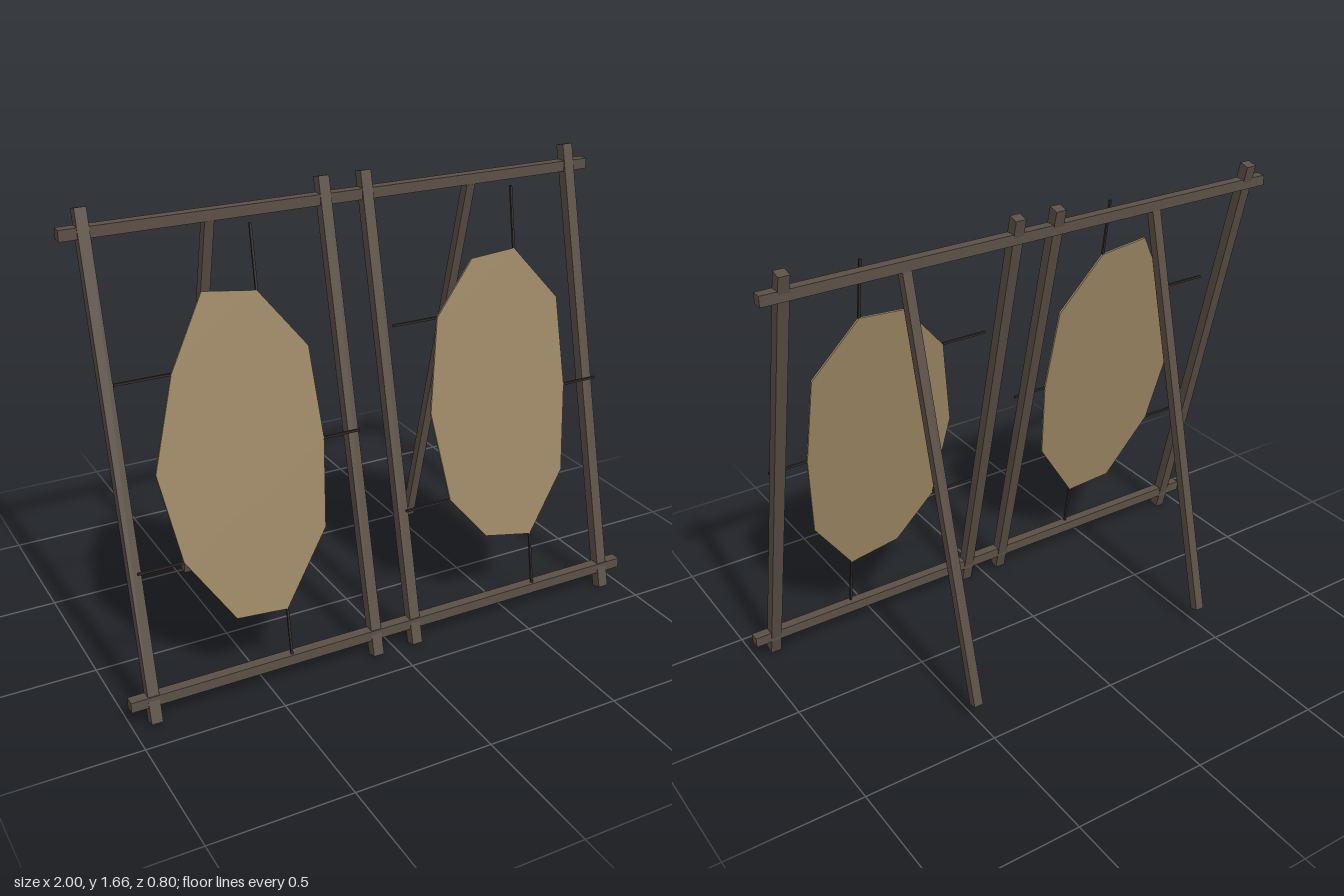
import * as THREE from 'three';

const wood = new THREE.MeshStandardMaterial({ color: 0x5a4f45 });
wood.name = 'dark wood';
const leather = new THREE.MeshStandardMaterial({ color: 0x9c8664 });
leather.name = 'tan hide';
const cord = new THREE.MeshStandardMaterial({ color: 0x322c2a });
cord.name = 'dark cord';

// Square beam between two points
function beam(name, a, b, width, material) {
  const start = new THREE.Vector3(...a), end = new THREE.Vector3(...b);
  const dir = end.clone().sub(start);
  const mesh = new THREE.Mesh(new THREE.BoxGeometry(width, dir.length(), width), material);
  mesh.position.copy(start).add(end).multiplyScalar(0.5);
  mesh.quaternion.setFromUnitVectors(new THREE.Vector3(0, 1, 0), dir.normalize());
  mesh.name = name;
  return mesh;
}

// The hides hang in a plane that leans back less than the frame
const SLOPE = 0.17, BASE_Z = 0.386;
const TILT = Math.atan(SLOPE);
const onPlane = (x, y) => [x, y, BASE_Z - SLOPE * y];

function stretchedHide(name, points, poleLeft, poleRight) {
  const group = new THREE.Group();
  group.name = name;

  // Thin ten-sided skin
  const shape = new THREE.Shape(points.map(([x, y]) => new THREE.Vector2(x, y / Math.cos(TILT))));
  const geometry = new THREE.ExtrudeGeometry(shape, { depth: 0.008, bevelEnabled: false });
  geometry.translate(0, 0, -0.004);
  const skin = new THREE.Mesh(geometry, leather);
  skin.name = 'hide';
  skin.position.z = BASE_Z;
  skin.rotation.x = -TILT;
  group.add(skin);

  // Cords from alternate corners to the frame
  const [, top, , right, , bottom, , lowLeft, , highLeft] = points;
  const ties = [
    [top, [top[0], 1.58]],
    [right, [poleRight, right[1]]],
    [bottom, [bottom[0], 0.1]],
    [lowLeft, [poleLeft, lowLeft[1]]],
    [highLeft, [poleLeft, highLeft[1]]],
  ];
  for (const [from, to] of ties) group.add(beam('cord', onPlane(...from), onPlane(...to), 0.008, cord));
  return group;
}

export function createModel() {
  const model = new THREE.Group();
  model.name = 'hideDryingRack';

  // Leaning uprights
  for (const x of [-0.92, -0.08, 0.08, 0.92])
    model.add(beam('upright', [x, 0.005, 0.381], [x, 1.66, -0.031], 0.04, wood));

  // Crossbars
  model.add(beam('topRail', [-1, 1.586, -0.016], [1, 1.586, -0.016], 0.038, wood));
  model.add(beam('bottomRail', [-1, 0.084, 0.362], [1, 0.084, 0.362], 0.038, wood));

  // Rear props
  for (const x of [-0.5, 0.5])
    model.add(beam('rearLeg', [x, 0.07, -0.386], [x, 1.57, -0.016], 0.034, wood));

  // Hides, listed clockwise from the upper left corner
  model.add(stretchedHide('rightHide', [
    [-0.6, 1.39], [-0.41, 1.365], [-0.245, 1.157], [-0.217, 0.835], [-0.24, 0.525],
    [-0.41, 0.27], [-0.597, 0.285], [-0.76, 0.525], [-0.82, 0.835], [-0.73, 1.147],
  ], -0.92, -0.08));
  model.add(stretchedHide('leftHide', [
    [0.41, 1.35], [0.587, 1.362], [0.76, 1.162], [0.777, 0.835], [0.75, 0.515],
    [0.597, 0.298], [0.405, 0.335], [0.262, 0.505], [0.205, 0.835], [0.255, 1.167],
  ], 0.08, 0.92));

  return model;
}
